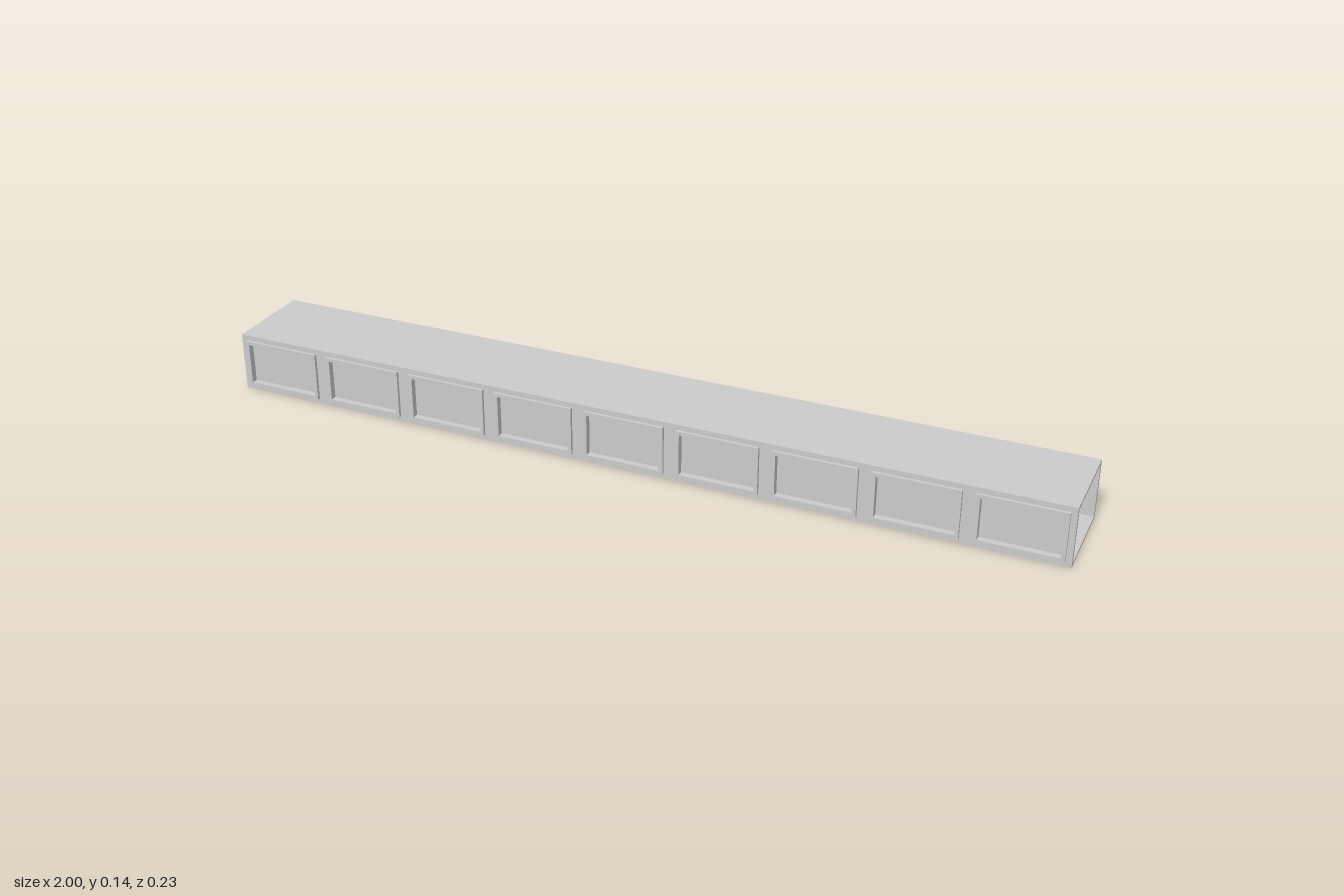
import * as THREE from 'three';

const material = new THREE.MeshStandardMaterial({ color: 0xcccccc, flatShading: true });
const COUNT = 9, PITCH = 0.2225, MID_Y = 0.0705;
const HOLE_W = 0.175, HOLE_H = 0.099;

function rect(Kind, cx, cy, w, h) {
  const path = new Kind();
  path.moveTo(cx - w / 2, cy - h / 2);
  path.lineTo(cx + w / 2, cy - h / 2);
  path.lineTo(cx + w / 2, cy + h / 2);
  path.lineTo(cx - w / 2, cy + h / 2);
  path.closePath();
  return path;
}

function add(parent, name, geometry, x = 0, y = 0, z = 0) {
  const mesh = new THREE.Mesh(geometry, material);
  mesh.name = name;
  mesh.position.set(x, y, z);
  parent.add(mesh);
}

const extrude = (shape, depth) => new THREE.ExtrudeGeometry(shape, { depth, bevelEnabled: false });

// One long wall with its row of windows, facing +z
function createSide(name) {
  const side = new THREE.Group();
  side.name = name;
  const centres = Array.from({ length: COUNT }, (_, i) => (i - (COUNT - 1) / 2) * PITCH);

  // Wall pierced by the window openings
  const wall = rect(THREE.Shape, 0, MID_Y, 2, 0.127);
  for (const x of centres) wall.holes.push(rect(THREE.Path, x, MID_Y, HOLE_W, HOLE_H));
  add(side, 'wall', extrude(wall, 0.01), 0, 0, 0.1);

  // Raised outer frame, recessed pane and its inner face
  const frame = rect(THREE.Shape, 0, 0, 0.193, 0.116);
  frame.holes.push(rect(THREE.Path, 0, 0, HOLE_W, HOLE_H));
  const frameGeometry = extrude(frame, 0.007);
  const paneGeometry = new THREE.BoxGeometry(HOLE_W, HOLE_H, 0.0015);
  const innerGeometry = new THREE.BoxGeometry(HOLE_W - 0.011, 0.088, 0.0015);
  for (const x of centres) {
    add(side, 'windowFrame', frameGeometry, x, MID_Y, 0.11);
    add(side, 'windowPane', paneGeometry, x, MID_Y, 0.101);
    add(side, 'innerPane', innerGeometry, x, MID_Y, 0.0998);
  }
  return side;
}

export function createModel() {
  const model = new THREE.Group();
  model.name = 'windowedCorridor';

  // Floor and roof slabs; both ends stay open
  const slab = new THREE.BoxGeometry(2, 0.007, 0.22);
  add(model, 'floor', slab, 0, 0.0035, 0);
  add(model, 'roof', slab, 0, 0.1375, 0);

  const front = createSide('frontSide');
  const back = createSide('backSide');
  back.rotation.y = Math.PI;
  model.add(front, back);
  return model;
}
